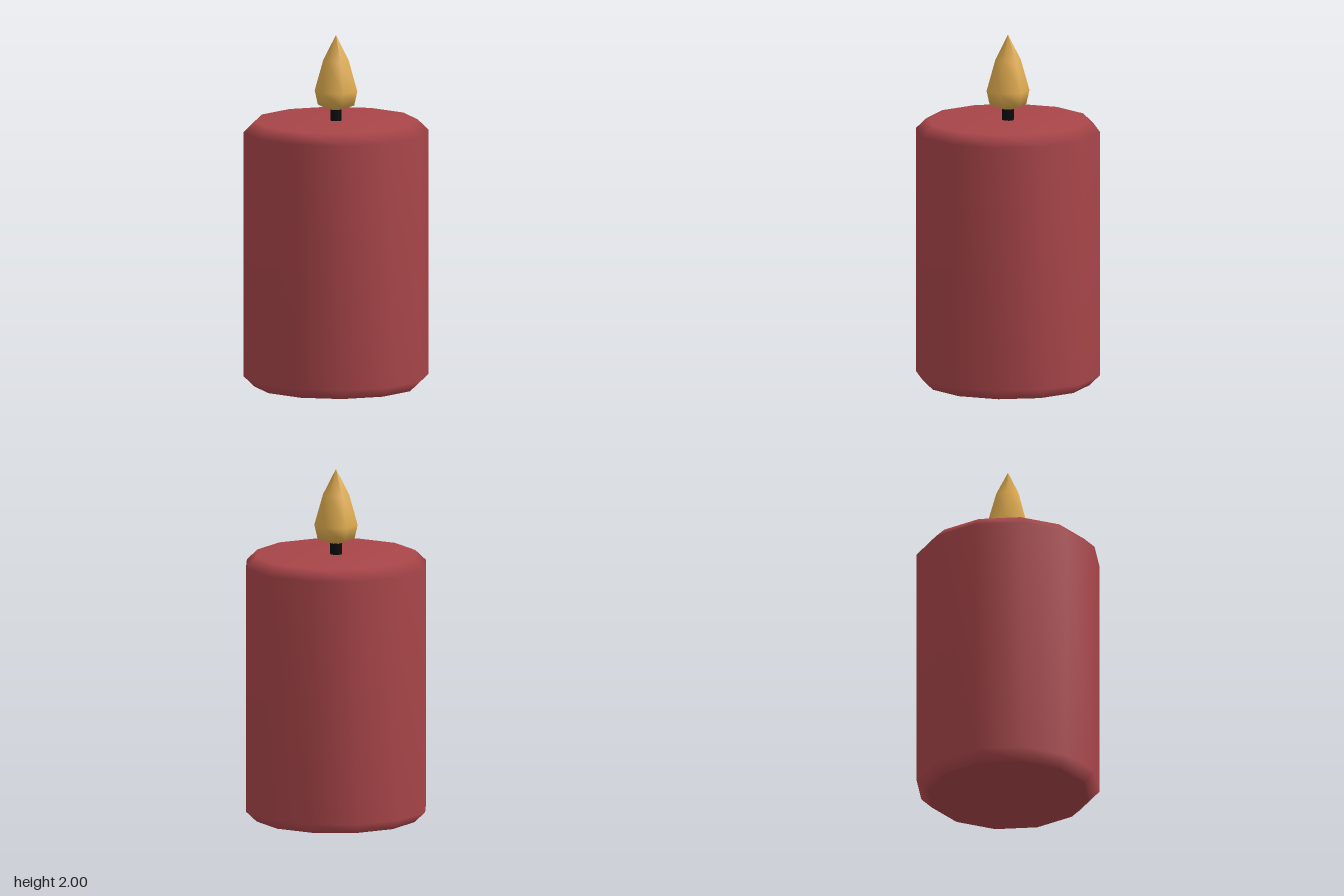
import * as THREE from 'three';

// Adds a named, coloured mesh to a group
function addPart(group, name, geometry, color) {
  const mesh = new THREE.Mesh(geometry, new THREE.MeshStandardMaterial({ color }));
  mesh.name = name;
  group.add(mesh);
  return mesh;
}

// Turns a profile of [radius, height] pairs, listed from bottom to top
function turned(profile, sides, startAngle = 0) {
  const points = profile.map(([r, y]) => new THREE.Vector2(r, y));
  return new THREE.LatheGeometry(points, sides, startAngle);
}

export function createModel() {
  const candle = new THREE.Group();
  candle.name = 'candle';
  const wax = 0xa84549;

  // Twelve-sided wax body with bevelled rims and a softly shaded top
  addPart(candle, 'waxBody', turned([[0.46, 0], [0.522, 0.06], [0.522, 1.453], [0.46, 1.513], [0, 1.513]], 12), wax);

  // Flat underside with a hard edge
  const base = addPart(candle, 'waxBase', new THREE.CircleGeometry(0.46, 12), wax);
  base.rotation.x = Math.PI / 2;

  // Wick, running from the wax into the flame
  const wick = addPart(candle, 'wick', new THREE.CylinderGeometry(0.034, 0.034, 0.12, 8), 0x0a0a0a);
  wick.position.y = 1.56;

  // Six-sided teardrop flame, turned slightly
  addPart(candle, 'flame', turned([[0, 1.565], [0.104, 1.6], [0.122, 1.68], [0.073, 1.855], [0, 2]], 6, -Math.PI / 12), 0xe0ac50);

  return candle;
}
